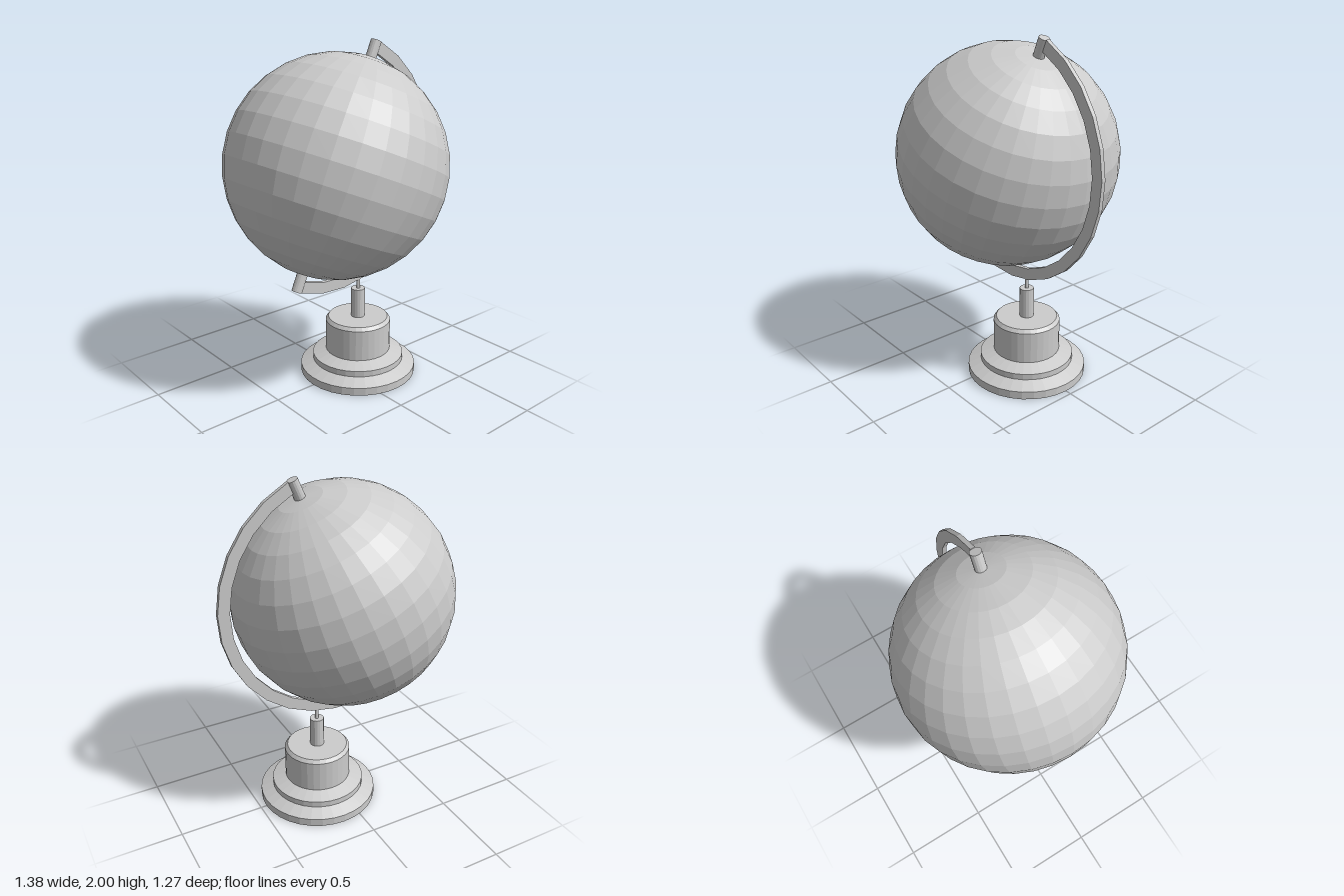
import * as THREE from 'three';

const material = new THREE.MeshStandardMaterial({ color: 0xcccccc, flatShading: true });

function addMesh(parent, name, geometry, x = 0, y = 0, z = 0) {
  const mesh = new THREE.Mesh(geometry, material);
  mesh.name = name;
  mesh.position.set(x, y, z);
  parent.add(mesh);
  return mesh;
}

// Flat faceted half-ring in the xy plane, opening towards -x
function halfRing(inner, outer, depth, gap, segments) {
  const points = [];
  const start = -Math.PI / 2 + gap;
  const step = (Math.PI - 2 * gap) / segments;
  const add = (r, i) => points.push(new THREE.Vector2(r * Math.cos(start + i * step), r * Math.sin(start + i * step)));
  for (let i = 0; i <= segments; i++) add(outer, i);
  for (let i = segments; i >= 0; i--) add(inner, i);
  return new THREE.ExtrudeGeometry(new THREE.Shape(points), { depth, bevelEnabled: false })
    .translate(0, 0, -depth / 2);
}

export function createModel() {
  const model = new THREE.Group();
  model.name = 'deskGlobe';

  // Tilted assembly: ball, axis pins and the arm around it
  const tilted = new THREE.Group();
  tilted.name = 'tiltedGlobe';
  tilted.position.set(-0.057, 1.31, 0);
  tilted.rotation.z = -THREE.MathUtils.degToRad(23.4);
  model.add(tilted);

  addMesh(tilted, 'ball', new THREE.SphereGeometry(0.634, 32, 16));
  for (const [name, side] of [['topPin', 1], ['bottomPin', -1]]) {
    addMesh(tilted, name, new THREE.CylinderGeometry(0.031, 0.031, 0.13, 16), 0, side * 0.673, 0);
  }
  addMesh(tilted, 'meridianArm', halfRing(0.674, 0.742, 0.025, 0.035, 14));

  // Stepped turned base, off-centre under the arm
  const stand = new THREE.Group();
  stand.name = 'stand';
  stand.position.x = 0.112;
  model.add(stand);

  const profile = [
    [0, 0], [0.352, 0], [0.352, 0.047], [0.277, 0.08], [0.277, 0.115],
    [0.197, 0.143], [0.197, 0.332], [0.18, 0.352], [0, 0.352],
  ].map(([r, y]) => new THREE.Vector2(r, y));
  addMesh(stand, 'base', new THREE.LatheGeometry(profile, 32));

  // Post and thin rod carrying the arm
  addMesh(stand, 'post', new THREE.CylinderGeometry(0.042, 0.042, 0.19, 16), 0, 0.437, 0);
  addMesh(stand, 'rod', new THREE.CylinderGeometry(0.011, 0.011, 0.09, 12), 0, 0.565, 0);

  return model;
}
